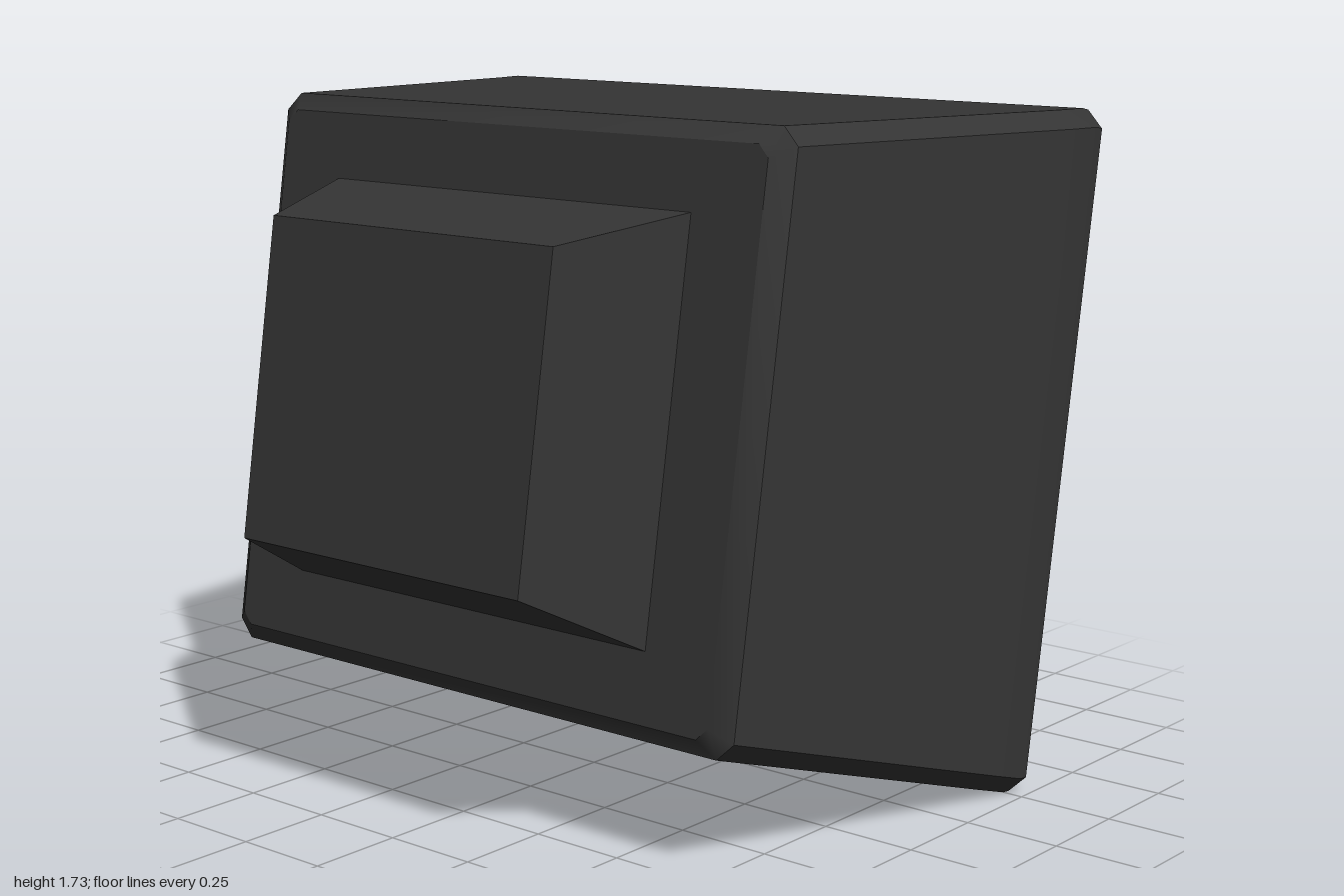
import * as THREE from 'three';
import { toCreasedNormals } from 'three/addons/utils/BufferGeometryUtils.js';

// One cross-section: depth u, bottom and top, half width, corner chamfer, sideways offset.
// Corners run counter-clockwise as seen from the screen side (+x).
function section([u, lo, hi, w, c, zc = 0]) {
  return [
    [lo + c, -w], [hi - c, -w], [hi, -w + c], [hi, w - c],
    [hi - c, w], [lo + c, w], [lo, w - c], [lo, -w + c],
  ].map(([y, z]) => new THREE.Vector3(u, y, z + zc));
}

// Skin the sections in order, closing the first one with a back panel
function loft(sections) {
  const rings = sections.map(section);
  const pos = [];
  const tri = (a, b, c) => {
    const area = b.clone().sub(a).cross(c.clone().sub(a)).length();
    if (area > 1e-7) pos.push(...a, ...b, ...c);
  };
  for (let j = 1; j < 7; j++) tri(rings[0][0], rings[0][j + 1], rings[0][j]);
  for (let i = 0; i < rings.length - 1; i++) {
    for (let j = 0; j < 8; j++) {
      const k = (j + 1) % 8;
      tri(rings[i][j], rings[i][k], rings[i + 1][k]);
      tri(rings[i][j], rings[i + 1][k], rings[i + 1][j]);
    }
  }
  const geo = new THREE.BufferGeometry();
  geo.setAttribute('position', new THREE.Float32BufferAttribute(pos, 3));
  return toCreasedNormals(geo, 0.5);
}

export function createModel() {
  const plastic = new THREE.MeshStandardMaterial({ color: 0x343434 });
  plastic.name = 'charcoal plastic';
  const glass = new THREE.MeshStandardMaterial({ color: 0x333333 });
  glass.name = 'dark glass';

  const model = new THREE.Group();
  model.name = 'monitor';
  const tilted = new THREE.Group();
  tilted.name = 'tiltedMonitor';
  tilted.position.set(0.53, 0.005, 0);
  tilted.rotation.z = -0.156;
  model.add(tilted);

  const add = (name, geo, mat) => {
    const mesh = new THREE.Mesh(geo, mat);
    mesh.name = name;
    tilted.add(mesh);
    return mesh;
  };

  // Tapered case, rounded front rim, sunken bezel and screen opening
  add('case', loft([
    [-1.098, 0.192, 1.549, 0.78, 0.03, 0.005],
    [-1.058, 0.148, 1.595, 0.83, 0.045, 0.005],
    [-0.13, 0.016, 1.728, 0.982, 0.045],
    [-0.04, 0.004, 1.742, 0.996, 0.045],
    [-0.012, 0.005, 1.741, 0.995, 0.045],
    [0, 0.016, 1.73, 0.984, 0.04],
    [0, 0.036, 1.71, 0.964, 0.035],
    [-0.04, 0.046, 1.7, 0.954, 0.03],
    [-0.04, 0.247, 1.497, 0.748, 0],
    [-0.28, 0.247, 1.497, 0.748, 0],
  ]), plastic);

  // Tapered housing behind the case
  add('rearHousing', loft([
    [-1.43, 0.479, 1.275, 0.455, 0, 0.013],
    [-1.09, 0.362, 1.385, 0.58, 0, 0.006],
  ]), plastic);

  // Bulging picture tube, deepest in the corners
  const screen = new THREE.PlaneGeometry(1.496, 1.25, 8, 8).rotateY(Math.PI / 2);
  const p = screen.attributes.position;
  for (let i = 0; i < p.count; i++) {
    const a = p.getZ(i) / 0.748, b = p.getY(i) / 0.625;
    p.setX(i, -0.06 - 0.04 * a - 0.07 * a * a - 0.05 * b * b);
  }
  screen.computeVertexNormals();
  add('screen', screen, glass).position.y = 0.872;

  return model;
}
